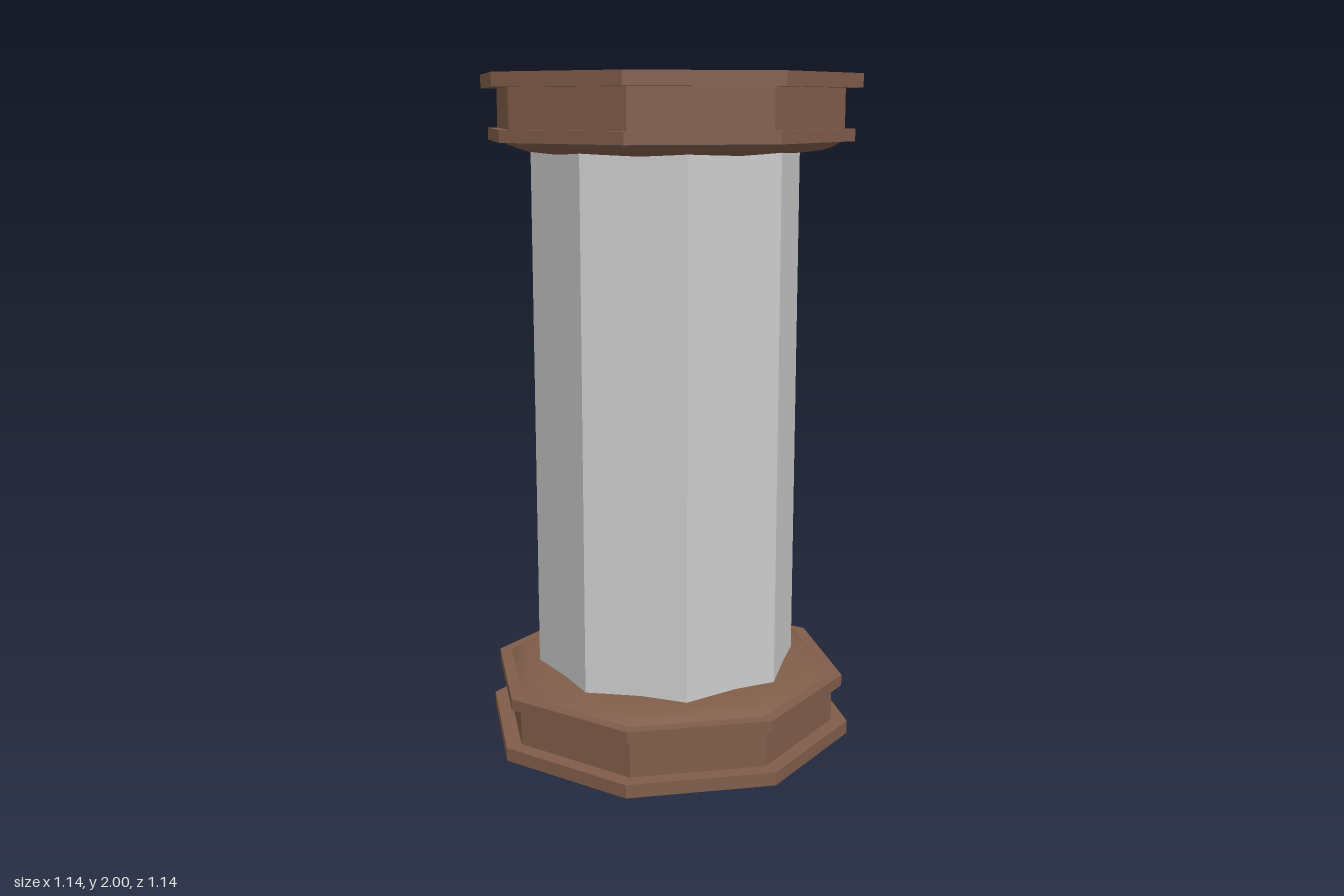
import * as THREE from 'three';

const SIDES = 8;
const brown = new THREE.MeshStandardMaterial({ color: 0x805d4a, flatShading: true });
const brownSmooth = new THREE.MeshStandardMaterial({ color: 0x805d4a, side: THREE.DoubleSide });
const grey = new THREE.MeshStandardMaterial({ color: 0xcccccc, flatShading: true });

// Octagonal prism between two heights
function prism(name, radius, y0, y1, material) {
  const mesh = new THREE.Mesh(new THREE.CylinderGeometry(radius, radius, y1 - y0, SIDES), material);
  mesh.position.y = (y0 + y1) / 2;
  mesh.name = name;
  return mesh;
}

// Stepped octagonal moulding, standing on y = 0
function createMoulding(name) {
  const group = new THREE.Group();
  group.name = name;
  group.add(
    prism('outerSlab', 0.57, 0, 0.04, brown),
    prism('neck', 0.52, 0.04, 0.155, brown),
    prism('innerSlab', 0.55, 0.155, 0.19, brown)
  );
  // Softly rounded collar that meets the shaft
  const profile = [[0.515, 0.188], [0.49, 0.204], [0.46, 0.215], [0.41, 0.221], [0.36, 0.226], [0.3, 0.226]]
    .map(([r, y]) => new THREE.Vector2(r, y));
  const collar = new THREE.Mesh(new THREE.LatheGeometry(profile, SIDES), brownSmooth);
  collar.name = 'collar';
  group.add(collar);
  return group;
}

export function createModel() {
  const model = new THREE.Group();
  model.name = 'column';

  // Shaft, turned slightly against the mouldings
  const shaft = prism('shaft', 0.4, 0.17, 1.83, grey);
  shaft.rotation.y = THREE.MathUtils.degToRad(19.9);

  // Base, and the same moulding upside down as the capital
  const base = createMoulding('base');
  const capital = createMoulding('capital');
  capital.rotation.z = Math.PI;
  capital.position.y = 2;

  model.add(shaft, base, capital);
  return model;
}
